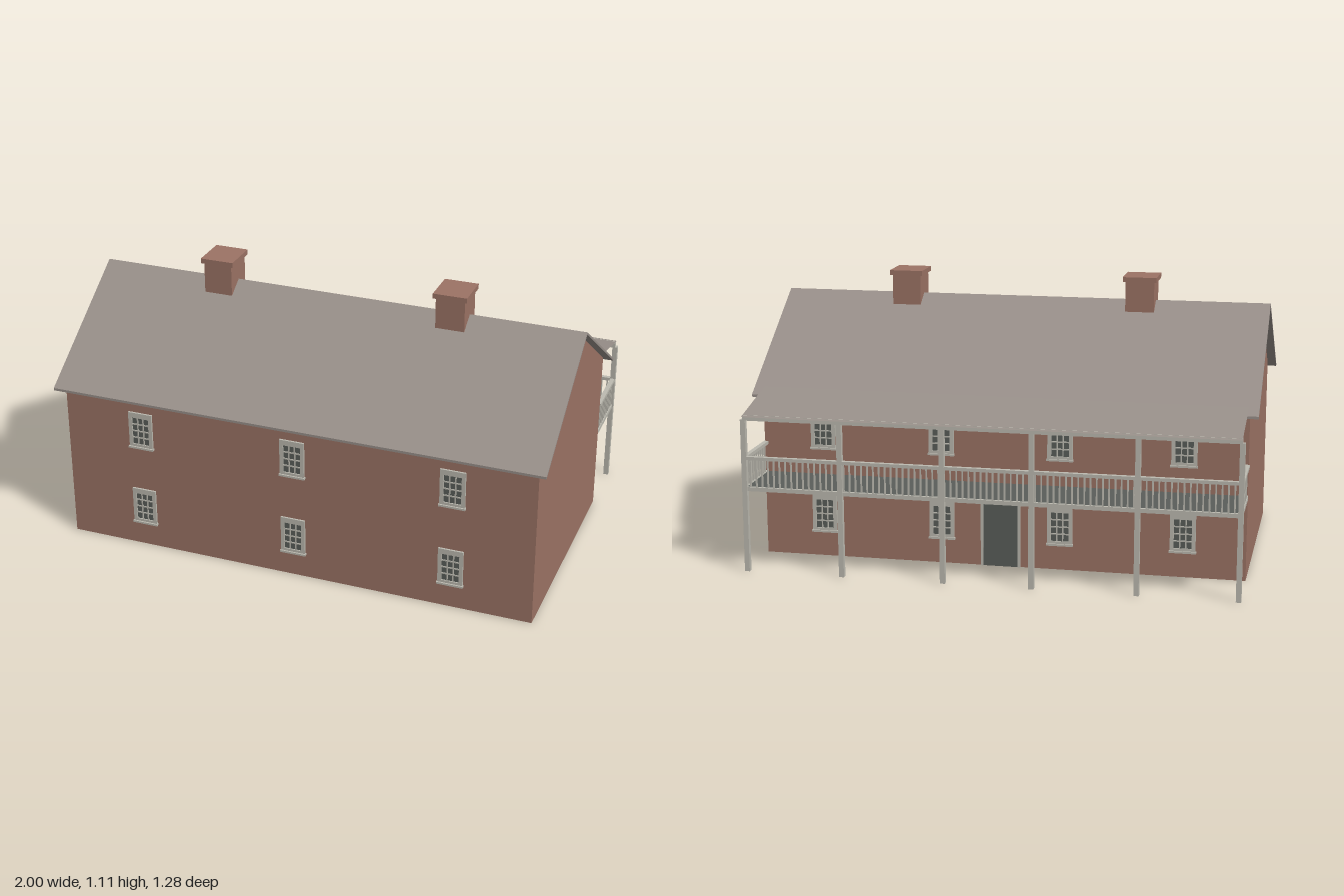
import * as THREE from 'three';

const mat = (name, color, side = THREE.FrontSide) => {
  const m = new THREE.MeshStandardMaterial({ color, side });
  m.name = name;
  return m;
};

export function createModel() {
  const brick = mat('brick', 0x9c7365);
  const wallBrick = brick;
  wallBrick.side = THREE.DoubleSide;
  const slate = mat('roof grey', 0x99908a, THREE.DoubleSide);
  const trim = mat('pale trim', 0xbcbab0);
  const dark = mat('dark grey', 0x5a5e5a);

  const house = new THREE.Group();
  house.name = 'house';

  const group = (name, parent = house) => {
    const g = new THREE.Group();
    g.name = name;
    parent.add(g);
    return g;
  };
  const add = (parent, name, geometry, material) => {
    const m = new THREE.Mesh(geometry, material);
    m.name = name;
    parent.add(m);
    return m;
  };
  // Box given by its minimum and maximum corners
  const box = (parent, name, material, [x0, y0, z0], [x1, y1, z1]) => {
    const m = add(parent, name, new THREE.BoxGeometry(x1 - x0, y1 - y0, z1 - z0), material);
    m.position.set((x0 + x1) / 2, (y0 + y1) / 2, (z0 + z1) / 2);
    return m;
  };

  const W = 0.965, ZF = 0.605, ZB = -0.36, RIDGE_Z = 0.122, EAVE = 0.673, APEX = 0.998;

  // Brick shell, open underneath
  const walls = group('walls');
  const gableShape = new THREE.Shape([[-ZF, 0], [-ZB, 0], [-ZB, EAVE], [-RIDGE_Z, APEX], [-ZF, EAVE]]
    .map(([a, b]) => new THREE.Vector2(a, b)));
  const rightGable = add(walls, 'gableWall', new THREE.ShapeGeometry(gableShape), wallBrick);
  rightGable.rotation.y = Math.PI / 2;
  rightGable.position.x = W;
  // mirrored outline for the opposite end
  const mirrored = new THREE.Shape(gableShape.getPoints().map(p => new THREE.Vector2(-p.x, p.y)));
  const leftGable = add(walls, 'gableWall', new THREE.ShapeGeometry(mirrored), wallBrick);
  leftGable.rotation.y = -Math.PI / 2;
  leftGable.position.x = -W;
  const frontWall = add(walls, 'frontWall', new THREE.PlaneGeometry(2 * W, EAVE), wallBrick);
  frontWall.position.set(0, EAVE / 2, ZF);
  const backWall = add(walls, 'backWall', new THREE.PlaneGeometry(2 * W, EAVE), wallBrick);
  backWall.rotation.y = Math.PI;
  backWall.position.set(0, EAVE / 2, ZB);

  // Main roof: thin chevron run along the ridge
  const t = 0.01;
  const roofShape = new THREE.Shape([
    [-0.641, 0.65], [-RIDGE_Z, 1.006 - t], [0.397, 0.65],
    [0.397, 0.65 + t], [-RIDGE_Z, 1.006], [-0.641, 0.65 + t],
  ].map(([a, b]) => new THREE.Vector2(a, b)));
  const roof = add(house, 'mainRoof',
    new THREE.ExtrudeGeometry(roofShape, { depth: 2, bevelEnabled: false }), slate);
  roof.rotation.y = Math.PI / 2;
  roof.position.x = -1;

  // Chimneys run down to the ground inside the shell
  for (const s of [-1, 1]) {
    const c = group('chimney');
    c.position.set(s * 0.482, 0, 0.125);
    box(c, 'chimneyShaft', brick, [-0.058, 0, -0.066], [0.058, 1.085, 0.066]);
    box(c, 'chimneyCap', brick, [-0.068, 1.085, -0.075], [0.068, 1.105, 0.075]);
  }

  // Sash window, 3 by 4 panes, facing +z with its sill at y = 0
  const makeWindow = (x, y, back) => {
    const g = group('window');
    g.position.set(x, y, back ? ZB : ZF);
    if (back) g.rotation.y = Math.PI;
    const w = 0.05, h = 0.152, f = 0.015;
    box(g, 'glass', dark, [-w + 0.005, 0.005, 0], [w - 0.005, h - 0.005, 0.003]);
    for (const s of [-1, 1]) {
      box(g, 'frameSide', trim, [s * (w - f / 2) - f / 2, 0, 0], [s * (w - f / 2) + f / 2, h, 0.008]);
    }
    box(g, 'frameTop', trim, [-w + f, h - 0.022, 0], [w - f, h, 0.008]);
    box(g, 'frameBottom', trim, [-w + f, 0, 0], [w - f, 0.014, 0.008]);
    box(g, 'sill', trim, [-w - 0.003, -0.004, 0], [w + 0.003, 0.004, 0.014]);
    const iw = w - f, y0 = 0.014, y1 = h - 0.022;
    for (let i = 1; i < 3; i++) {
      const cx = -iw + (2 * iw * i) / 3;
      box(g, 'upright bar', trim, [cx - 0.0025, y0, 0], [cx + 0.0025, y1, 0.006]);
    }
    for (let i = 1; i < 4; i++) {
      const cy = y0 + ((y1 - y0) * i) / 4;
      box(g, 'cross bar', trim, [-iw, cy - 0.0025, 0], [iw, cy + 0.0025, 0.006]);
    }
  };
  for (const y of [0.103, 0.445]) {
    for (const x of [-0.643, -0.003, 0.64]) makeWindow(x, y, false);
    for (const x of [-0.72, -0.237, 0.237, 0.72]) makeWindow(x, y, true);
  }

  // Back door
  const door = group('backDoor');
  box(door, 'doorPanel', dark, [-0.07, 0, ZB - 0.004], [0.07, 0.272, ZB]);
  for (const s of [-1, 1]) {
    box(door, 'doorJamb', trim, [s * 0.074 - 0.005, 0, ZB - 0.008], [s * 0.074 + 0.005, 0.28, ZB]);
  }
  box(door, 'doorLintel', trim, [-0.069, 0.27, ZB - 0.008], [0.069, 0.28, ZB]);

  // Two-storey back porch
  const porch = group('porch');
  const PX = 0.96, PZ = -0.615;
  for (const x of [-PX, -0.576, -0.173, 0.173, 0.576, PX]) {
    box(porch, 'porchPost', trim, [x - 0.01, 0, PZ - 0.01], [x + 0.01, 0.61, PZ + 0.01]);
  }
  box(porch, 'porchBeam', trim, [-PX, 0.607, PZ - 0.01], [PX, 0.628, PZ + 0.01]);
  box(porch, 'porchDeck', dark, [-PX, 0.327, PZ], [PX, 0.339, ZB]);

  // Edge beams, handrails and balusters on three sides
  const rail = (name, y0, y1, r) => {
    box(porch, name, trim, [-PX, y0, PZ - r], [PX, y1, PZ + r]);
    for (const s of [-1, 1]) {
      box(porch, name, trim, [s * PX - r, y0, PZ + r], [s * PX + r, y1, ZB]);
    }
  };
  rail('deckEdge', 0.325, 0.341, 0.006);
  rail('handrail', 0.45, 0.463, 0.009);
  const spindle = new THREE.BoxGeometry(0.006, 0.11, 0.006);
  const baluster = (x, z) => add(porch, 'baluster', spindle, trim).position.set(x, 0.396, z);
  for (let i = 1; i < 82; i++) baluster(-PX + (2 * PX * i) / 82, PZ);
  for (let i = 1; i < 11; i++) {
    for (const s of [-1, 1]) baluster(s * PX, PZ + ((ZB - PZ) * i) / 11);
  }

  // Porch roof: a single sloping sheet lapped onto the main roof
  const run = 0.285, drop = 0.063;
  const porchRoof = add(porch, 'porchRoof', new THREE.PlaneGeometry(2 * PX, Math.hypot(run, drop)), slate);
  porchRoof.rotation.set(-Math.PI / 2 - Math.atan2(drop, run), 0, 0);
  porchRoof.position.set(0, 0.687 - drop / 2, -0.64 + run / 2);

  return house;
}
